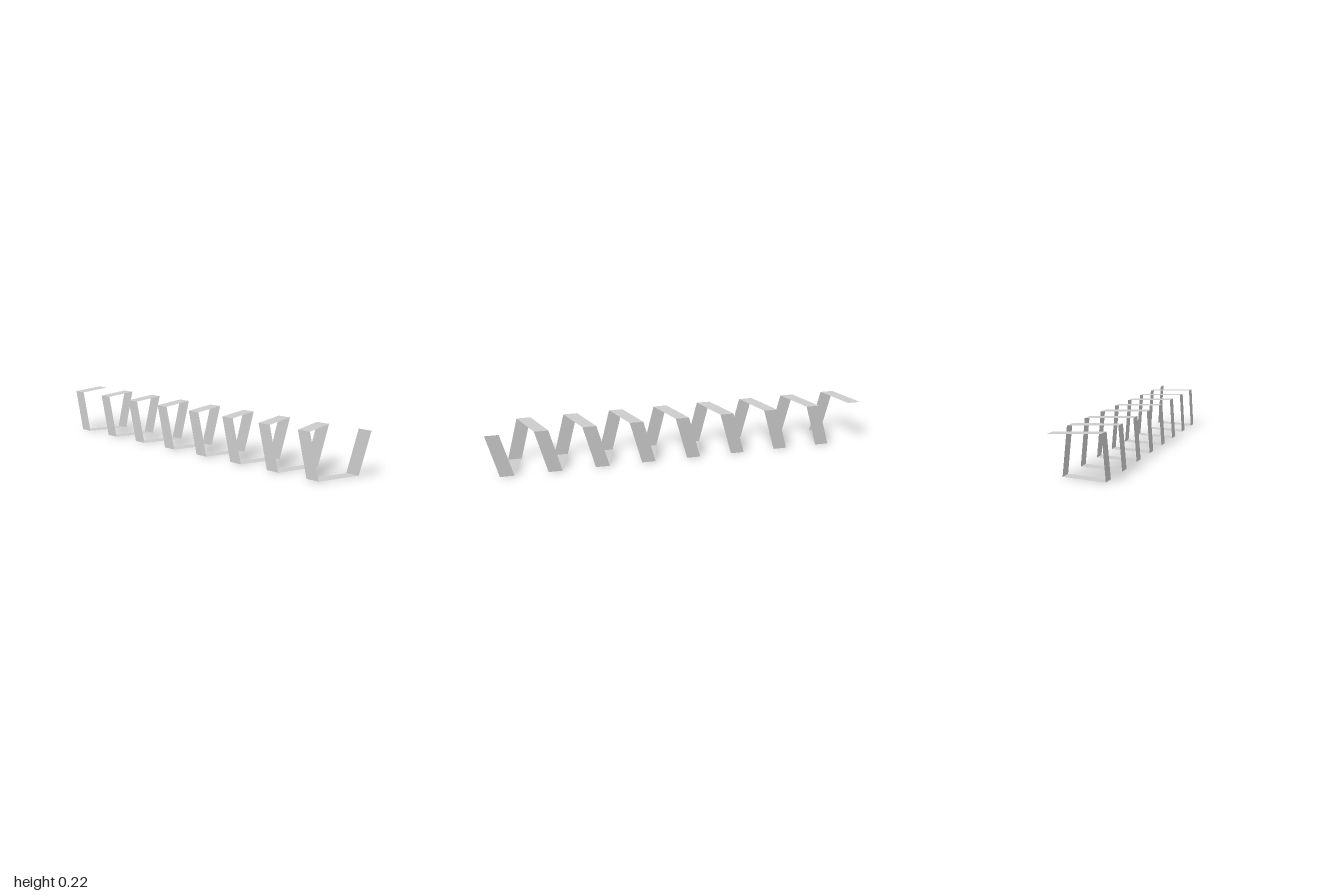
import * as THREE from 'three';

const TURNS = 8;
const PITCH = 0.241;   // advance along z per turn
const WIDTH = 0.071;   // ribbon width along z
const HEIGHT = 0.222;
const DRIFT = -0.058;  // sideways slant of the coil axis

// The four corners of one turn: side offset, height, z of the ribbon's front edge
const CORNERS = [
  { x: 0.107, y: HEIGHT, z: 1.0 },
  { x: 0.107, y: 0, z: 0.938 },
  { x: -0.115, y: 0, z: 0.865 },
  { x: -0.115, y: HEIGHT, z: 0.808 },
];

// Front and rear edge points of the ribbon at corner number i
function station(i) {
  const c = CORNERS[i % 4];
  const z = c.z - Math.floor(i / 4) * PITCH;
  return [z, z - WIDTH].map((e) => [c.x + DRIFT * e, c.y, e]);
}

export function createModel() {
  const group = new THREE.Group();
  group.name = 'squareCoil';

  // One flat panel between each pair of corners, facing outward
  const positions = [];
  for (let i = 0; i < TURNS * 4; i++) {
    const [a0, a1] = station(i);
    const [b0, b1] = station(i + 1);
    positions.push(...a0, ...b0, ...a1, ...b0, ...b1, ...a1);
  }
  const geometry = new THREE.BufferGeometry();
  geometry.setAttribute('position', new THREE.Float32BufferAttribute(positions, 3));
  geometry.computeVertexNormals();

  const ribbon = new THREE.Mesh(geometry, new THREE.MeshStandardMaterial({
    color: 0xcccccc, flatShading: true, side: THREE.DoubleSide,
  }));
  ribbon.name = 'coiledRibbon';
  group.add(ribbon);
  return group;
}
